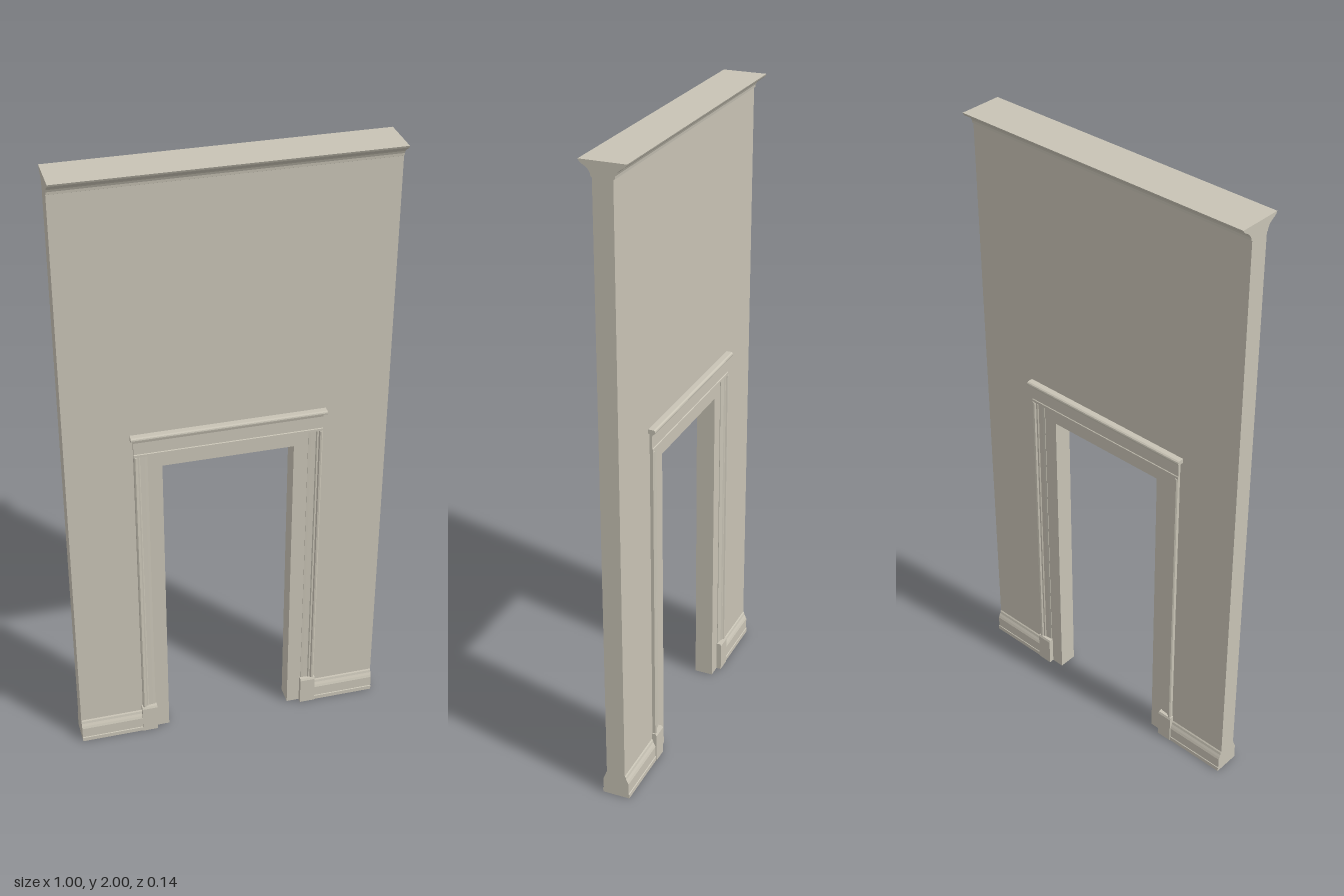
import * as THREE from 'three';

const plaster = new THREE.MeshStandardMaterial({ color: 0xc8c3b5 });
plaster.name = 'warm plaster';

const HALF = 0.03; // half the wall thickness

function part(name, geometry) {
  const mesh = new THREE.Mesh(geometry, plaster);
  mesh.name = name;
  return mesh;
}

function extrude(points, depth) {
  const shape = new THREE.Shape(points.map(([a, b]) => new THREE.Vector2(a, b)));
  return new THREE.ExtrudeGeometry(shape, { depth, bevelEnabled: false });
}

// Moulding running along x, from a (z, y) section
function alongX(name, section, x0, x1) {
  return part(name, extrude(section, x1 - x0).rotateY(-Math.PI / 2).translate(x1, 0, 0));
}

// Moulding running up y, from an (x, z) section
function alongY(name, section, y0, y1) {
  const flipped = section.map(([x, z]) => [x, -z]);
  return part(name, extrude(flipped, y1 - y0).rotateX(-Math.PI / 2).translate(0, y0, 0));
}

const crownSection = [
  [HALF, 1.955], [0.034, 1.957], [0.035, 1.965], [0.039, 1.973], [0.046, 1.98],
  [0.055, 1.986], [0.061, 1.989], [0.066, 1.994], [0.069, 2], [HALF, 2],
];
const baseSection = [
  [HALF, 0], [0.044, 0], [0.044, 0.014], [0.042, 0.016], [0.042, 0.052],
  [0.039, 0.06], [0.035, 0.068], [0.033, 0.076], [HALF, 0.08],
];
const headerSection = [
  [HALF, 1.09], [0.04, 1.09], [0.04, 1.098], [0.038, 1.1], [0.038, 1.14],
  [0.042, 1.153], [HALF, 1.153],
];
const capSection = [
  [HALF, 1.151], [0.046, 1.151], [0.051, 1.154], [0.052, 1.158],
  [0.051, 1.162], [0.047, 1.165], [HALF, 1.165],
];
const casingSection = [
  [0.293, HALF], [0.293, 0.04], [0.289, 0.043], [0.284, 0.042], [0.281, 0.037],
  [0.276, 0.037], [0.273, 0.034], [0.258, 0.033], [0.25, 0.032], [0.25, HALF],
];

// All trim on one face of the wall
function faceTrim() {
  const trim = new THREE.Group();
  trim.add(alongX('crownMoulding', crownSection, -0.5, 0.5));
  trim.add(alongX('doorHeader', headerSection, -0.293, 0.293));
  trim.add(alongX('headerCap', capSection, -0.302, 0.302));
  for (const s of [-1, 1]) {
    const side = s > 0 ? 'Left' : 'Right';
    const [a, b] = s > 0 ? [0.295, 0.5] : [-0.5, -0.295];
    trim.add(alongX('baseboard' + side, baseSection, a, b));
    trim.add(alongY('doorCasing' + side, casingSection.map(([x, z]) => [s * x, z]), 0.095, 1.09));
    // plinth block under the casing, with a sloped top
    const plinth = [[HALF, 0], [0.046, 0], [0.046, 0.093], [0.043, 0.1], [HALF, 0.1]];
    const [c, d] = s > 0 ? [0.247, 0.297] : [-0.297, -0.247];
    trim.add(alongX('plinthBlock' + side, plinth, c, d));
  }
  return trim;
}

export function createModel() {
  const model = new THREE.Group();
  model.name = 'doorwayWall';

  // Wall with the door opening cut from its foot
  const outline = [
    [-0.5, 0], [-0.205, 0], [-0.205, 1.042], [0.205, 1.042],
    [0.205, 0], [0.5, 0], [0.5, 2], [-0.5, 2],
  ];
  model.add(part('wall', extrude(outline, 2 * HALF).translate(0, 0, -HALF)));

  const front = faceTrim();
  front.name = 'frontTrim';
  const back = faceTrim();
  back.name = 'backTrim';
  back.rotation.y = Math.PI;
  model.add(front, back);
  return model;
}
